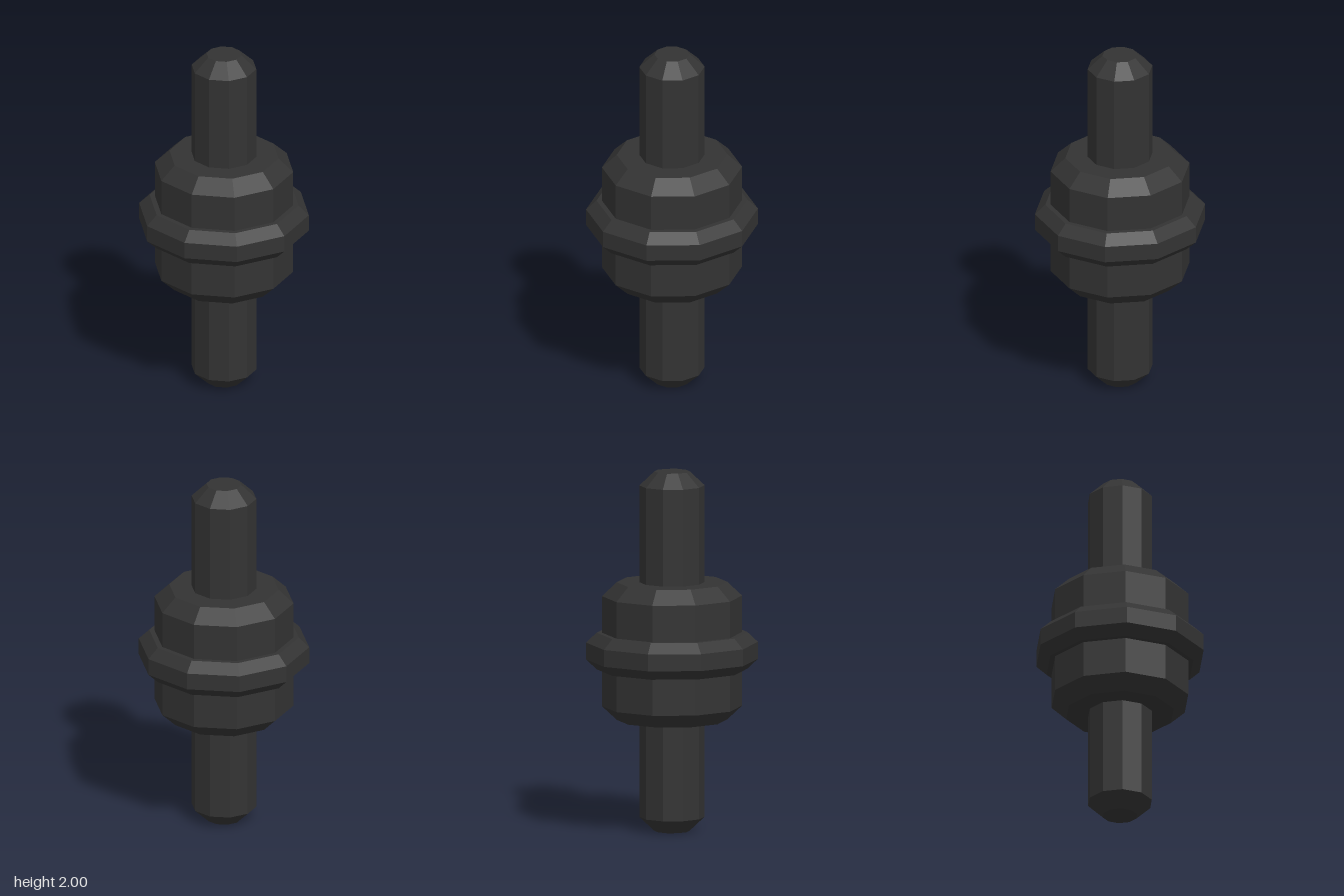
import * as THREE from 'three';

const SIDES = 10;

export function createModel() {
  const model = new THREE.Group();
  const darkGrey = new THREE.MeshStandardMaterial({ color: 0x333333 });
  darkGrey.name = 'dark grey';
  darkGrey.flatShading = true;

  // Ten-sided drum with chamfered rims, closed at both ends
  function chamferedDrum(name, bottom, top, radius, rimRadius, chamfer) {
    const profile = [
      [0, bottom],
      [rimRadius, bottom],
      [radius, bottom + chamfer],
      [radius, top - chamfer],
      [rimRadius, top],
      [0, top],
    ].map(([r, y]) => new THREE.Vector2(r, y));
    const mesh = new THREE.Mesh(new THREE.LatheGeometry(profile, SIDES), darkGrey);
    mesh.name = name;
    model.add(mesh);
  }

  chamferedDrum('shaft', 0, 2, 0.18, 0.097, 0.078);
  chamferedDrum('body', 0.618, 1.384, 0.386, 0.304, 0.077);
  chamferedDrum('flange', 0.9, 1.104, 0.473, 0.415, 0.055);

  return model;
}
